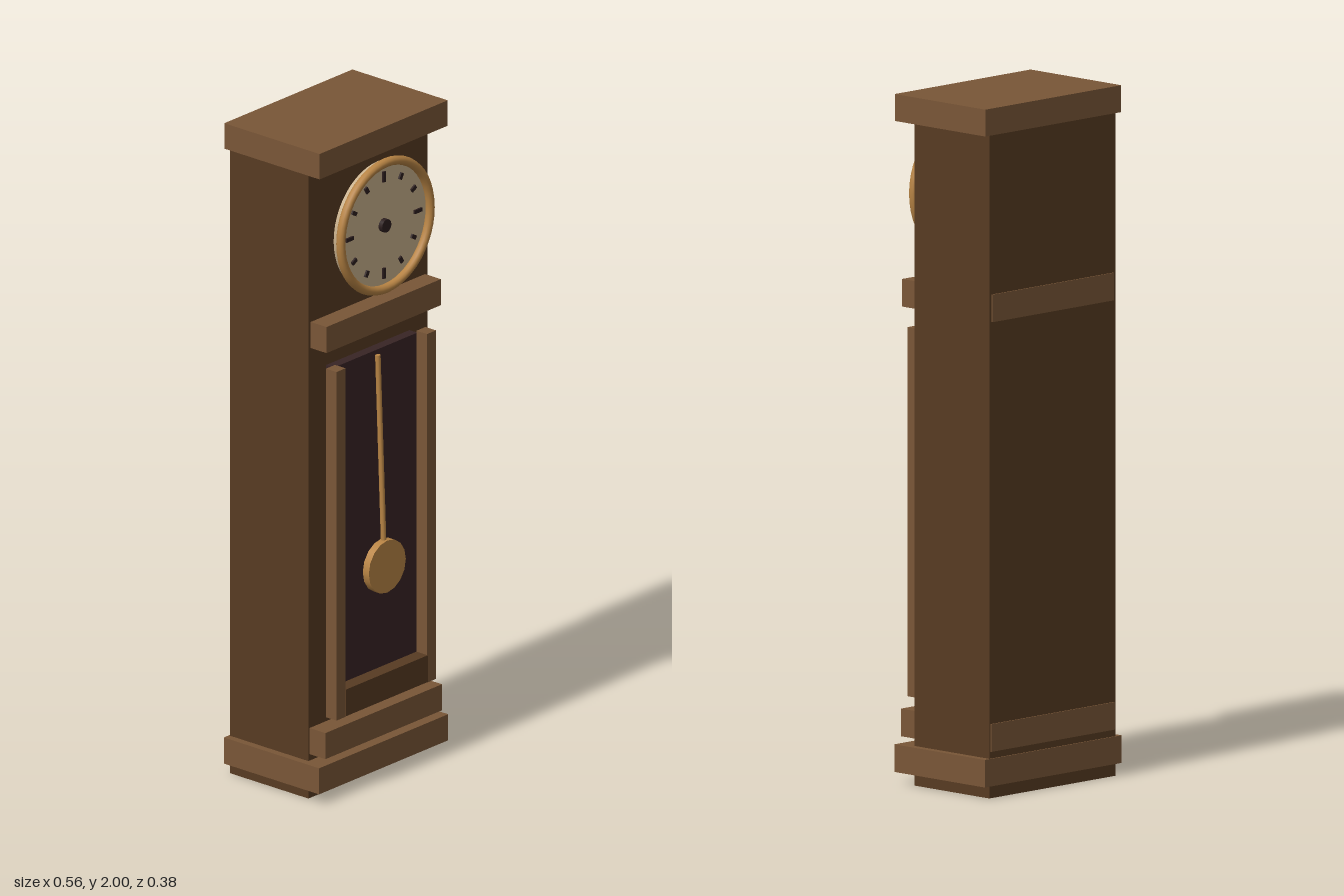
import * as THREE from 'three';

const mat = (name, color) => {
  const m = new THREE.MeshStandardMaterial({ color });
  m.name = name;
  return m;
};

export function createModel() {
  const clock = new THREE.Group();
  clock.name = 'longcaseClock';

  const darkWood = mat('darkWood', 0x573b22);
  const lightWood = mat('lightWood', 0x795637);
  const panelDark = mat('panelDark', 0x382425);
  const brass = mat('brass', 0xb88444);
  const ivory = mat('ivory', 0xc8b08c);
  const ink = mat('ink', 0x2c1e1e);

  const add = (name, geometry, material, parent = clock) => {
    const mesh = new THREE.Mesh(geometry, material);
    mesh.name = name;
    parent.add(mesh);
    return mesh;
  };

  // Box given by its extents on each axis
  const box = (name, material, [x0, x1], [y0, y1], [z0, z1]) => {
    const mesh = add(name, new THREE.BoxGeometry(x1 - x0, y1 - y0, z1 - z0), material);
    mesh.position.set((x0 + x1) / 2, (y0 + y1) / 2, (z0 + z1) / 2);
    return mesh;
  };

  // Disc facing +z
  const disc = (name, material, r, y, z0, z1, sides) => {
    const geometry = new THREE.CylinderGeometry(r, r, z1 - z0, sides).rotateX(Math.PI / 2);
    const mesh = add(name, geometry, material);
    mesh.position.set(0, y, (z0 + z1) / 2);
    return mesh;
  };

  // Case and its mouldings
  box('case', darkWood, [-0.257, 0.257], [0, 1.95], [-0.188, 0.11]);
  const mouldings = [
    ['crown', 0.277, 1.922, 2],
    ['waistMoulding', 0.247, 1.38, 1.46],
    ['lowerMoulding', 0.252, 0.135, 0.215],
    ['baseMoulding', 0.279, 0.035, 0.115],
  ];
  for (const [name, w, y0, y1] of mouldings) {
    box(name, lightWood, [-w, w], [y0, y1], [-0.192, 0.17]);
  }

  // Door: dark panel, side posts and bottom rail
  box('doorPanel', panelDark, [-0.18, 0.18], [0.265, 1.308], [0.105, 0.14]);
  box('doorPostLeft', lightWood, [0.176, 0.215], [0.245, 1.315], [0.14, 0.18]);
  box('doorPostRight', lightWood, [-0.215, -0.176], [0.245, 1.315], [0.14, 0.18]);
  box('doorRail', darkWood, [-0.178, 0.178], [0.248, 0.33], [0.14, 0.183]);

  // Pendulum, its rod leaning slightly forward toward the bob
  const top = new THREE.Vector3(0, 1.295, 0.148);
  const bottom = new THREE.Vector3(0, 0.67, 0.172);
  const rod = add('pendulumRod', new THREE.CylinderGeometry(0.008, 0.008, top.distanceTo(bottom), 8), brass);
  rod.position.copy(top).add(bottom).multiplyScalar(0.5);
  rod.quaternion.setFromUnitVectors(new THREE.Vector3(0, 1, 0), top.clone().sub(bottom).normalize());
  disc('pendulumBob', brass, 0.08, 0.655, 0.161, 0.184, 16);

  // Dial with brass bezel
  const dialY = 1.7;
  disc('dial', ivory, 0.19, dialY, 0.147, 0.168, 48);
  const bezel = add('bezel', new THREE.TorusGeometry(0.193, 0.0135, 12, 48), brass);
  bezel.position.set(0, dialY, 0.177);
  disc('dialHub', ink, 0.02, dialY, 0.165, 0.182, 16);

  // Hour marks, longer at the quarters
  const marks = new THREE.Group();
  marks.name = 'hourMarks';
  marks.position.set(0, dialY, 0.17);
  clock.add(marks);
  for (let i = 0; i < 12; i++) {
    const quarter = i % 3 === 0;
    const a = (i * Math.PI) / 6;
    const mark = add('hourMark', new THREE.BoxGeometry(quarter ? 0.011 : 0.012, quarter ? 0.032 : 0.02, 0.008), ink, marks);
    mark.position.set(Math.sin(a) * 0.148, Math.cos(a) * 0.148, 0);
    mark.rotation.z = -a;
  }

  return clock;
}
